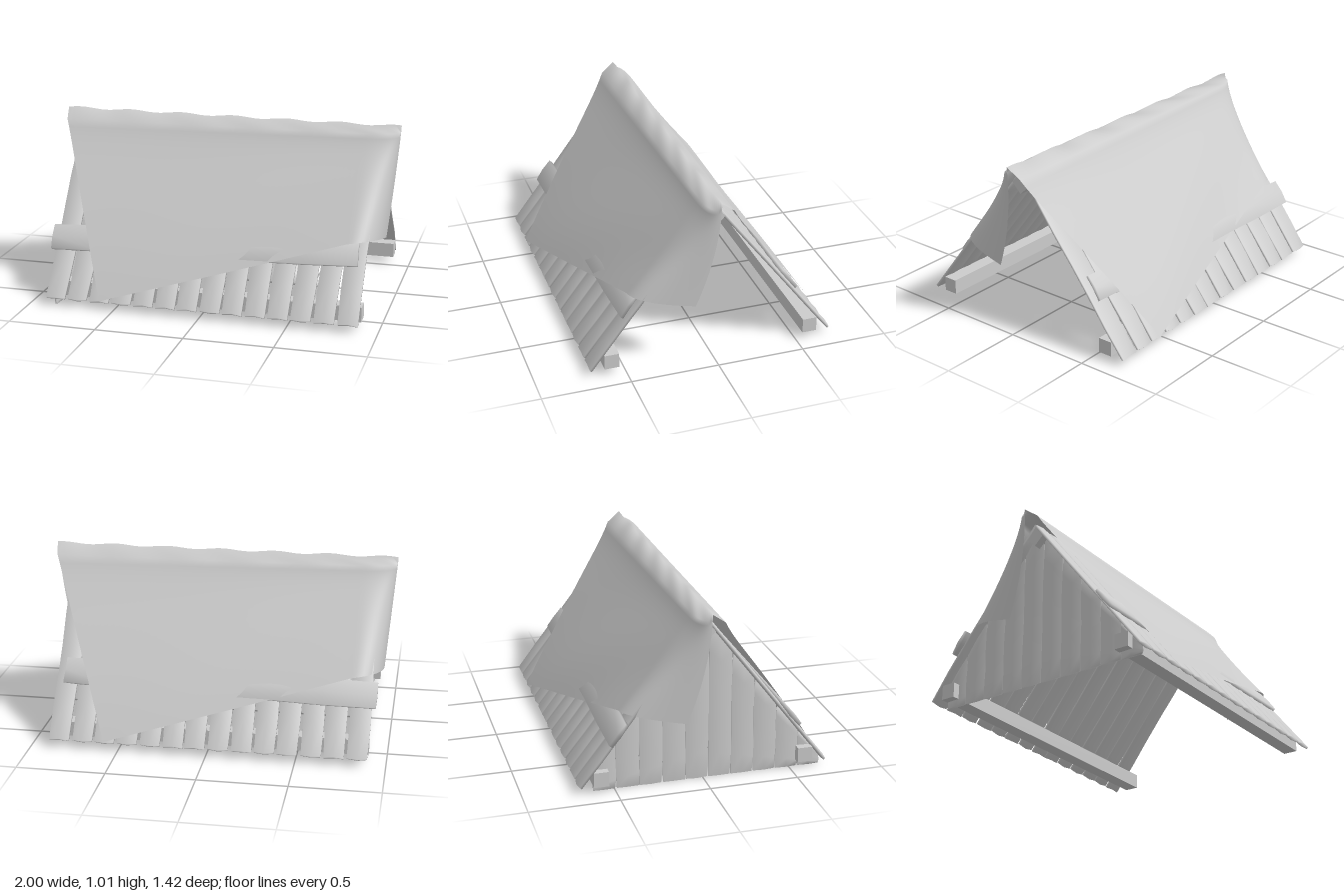
import * as THREE from 'three';
import { mergeVertices } from 'three/addons/utils/BufferGeometryUtils.js';

const APEX = 0.95, SIN = 0.61, COS = 0.792, PITCH = Math.atan2(SIN, COS);
const mat = new THREE.MeshStandardMaterial({ color: 0xcccccc });
const clothMat = new THREE.MeshStandardMaterial({ color: 0xcccccc, side: THREE.DoubleSide });

let seed = 7;
const jitter = (a) => {
  seed = (seed * 16807) % 2147483647;
  return (seed / 2147483647 - 0.5) * 2 * a;
};

function add(parent, name, geometry, material = mat) {
  const mesh = new THREE.Mesh(geometry, material);
  mesh.name = name;
  parent.add(mesh);
  return mesh;
}

// Soft-shaded hand-cut plank: wavy edges and uneven ends
function plank(w, h, t, rough, shape) {
  let g = new THREE.BoxGeometry(w, h, t, 2, 6, 1);
  g.deleteAttribute('uv');
  g.deleteAttribute('normal');
  g = mergeVertices(g);
  const p = g.attributes.position;
  const phase = jitter(3);
  for (let i = 0; i < p.count; i++) {
    let x = p.getX(i), y = p.getY(i), z = p.getZ(i);
    const end = Math.abs(y) > h * 0.49;
    z += Math.abs(x) < 0.001 ? Math.sign(z) * rough : 0;
    x *= end ? 0.95 : 1;
    x += rough * 0.6 * Math.sin(y * 9 + phase);
    if (end) y += rough * 0.7 * Math.sin(x * 60 + phase);
    p.setXYZ(i, x, y, z);
  }
  if (shape) shape(p);
  g.computeVertexNormals();
  return g;
}

// One pitched side: local -y runs down the slope, local z points outward
function roofSide(name, back) {
  const turn = new THREE.Group();
  turn.name = name;
  turn.rotation.y = back ? Math.PI : 0;
  const slope = new THREE.Group();
  slope.position.y = APEX;
  slope.rotation.x = -PITCH;
  turn.add(slope);
  for (let i = 0; i < 14; i++) {
    const slat = add(slope, 'roofSlat', plank(0.117, 1.14, 0.014, 0.005));
    slat.position.set((i - 6.5) * 0.1293 + (back ? 0.004 : -0.004), -0.57, 0);
    slat.rotation.z = jitter(0.004);
  }
  // Long cross board nailed over the slats
  const dir = back ? -1 : 1;
  const board = add(slope, 'crossBoard', plank(0.155, 1.78, 0.02, 0.004));
  board.position.set(-0.04 * dir, -0.755, 0.019);
  board.rotation.z = Math.PI / 2 + 0.024 * dir;
  return turn;
}

// Upright planks closing one end, tops cut to the roof pitch
function endWall() {
  const wall = new THREE.Group();
  wall.name = 'endWall';
  for (let i = 0; i < 10; i++) {
    const z = 0.615 - i * 0.13;
    const cut = (p) => {
      for (let k = 0; k < p.count; k++) {
        const f = p.getY(k) + 0.5;
        const roof = APEX - 0.012 - (COS / SIN) * Math.abs(z - p.getX(k));
        p.setY(k, Math.max(0.005, 0.005 + f * (Math.max(roof, 0.03) - 0.005)));
      }
    };
    const mesh = add(wall, 'wallPlank', plank(0.128, 1, 0.01, 0.004, cut));
    mesh.rotation.y = Math.PI / 2;
    mesh.position.set(-0.85, 0, z);
  }
  return wall;
}

// Point on the slope: x, distance down from the ridge, height off the slats
const onSlope = (x, d, off) =>
  new THREE.Vector3(x, APEX - COS * d + SIN * off, SIN * d + COS * off);

// Front half of the cloth; its right edge folds around the open end
function clothPoint(u, v) {
  const lift = 0.043 + 0.028 * Math.exp(-v * 12) + 0.004 * Math.sin(u * 9 + v * 7) * v;
  const left = onSlope(-1 + 0.42 * v, 1.14 * v, lift - 0.03 * v ** 4);
  const fold = onSlope(0.95 - 0.05 * v, 0.653 * v, lift);
  const flap = new THREE.Vector3(1 - 0.05 * v, 1 - 0.62 * v, 0.12 * v * v);
  if (u < 0.75) return left.lerp(fold, (u / 0.75) * 0.92);
  const t = (u - 0.75) / 0.25;
  const start = left.clone().lerp(fold, 0.92);
  const corner = fold.clone();
  corner.x += 0.06;
  corner.z += 0.02 * v;
  return start.multiplyScalar((1 - t) ** 2)
    .addScaledVector(corner, 2 * t * (1 - t))
    .addScaledVector(flap, t * t);
}

function clothGeometry() {
  const nu = 56, nv = 48, pos = [], index = [];
  for (let j = 0; j <= nv; j++) {
    const v = (j / nv) * 2 - 1;
    for (let i = 0; i <= nu; i++) {
      const u = i / nu;
      let p;
      if (Math.abs(v) < 1e-6) {
        p = new THREE.Vector3(-1 + 2 * u, 1.005 + 0.006 * Math.sin(u * 40), 0);
      } else if (v > 0) {
        p = clothPoint(u, v);
      } else {
        p = clothPoint(1 - u, -v);
        p.set(-p.x, p.y, -p.z);
      }
      pos.push(p.x, p.y, p.z);
      if (i < nu && j < nv) {
        const a = j * (nu + 1) + i, b = a + nu + 1;
        index.push(a, b, a + 1, b, b + 1, a + 1);
      }
    }
  }
  const g = new THREE.BufferGeometry();
  g.setAttribute('position', new THREE.Float32BufferAttribute(pos, 3));
  g.setIndex(index);
  g.computeVertexNormals();
  return g;
}

export function createModel() {
  const model = new THREE.Group();
  model.name = 'shelter';
  model.add(roofSide('frontRoof', false), roofSide('backRoof', true), endWall());

  // Square beams along both eaves and under the ridge
  for (const side of [1, -1]) {
    const beam = add(model, 'eaveBeam', new THREE.BoxGeometry(1.8, 0.085, 0.083));
    beam.position.set(0, 0.087, 0.58 * side);
  }
  const ridge = add(model, 'ridgeBeam', new THREE.BoxGeometry(1.8, 0.083, 0.083));
  ridge.position.set(0, 0.88, 0);
  ridge.rotation.x = Math.PI / 4;

  add(model, 'clothCover', clothGeometry(), clothMat);
  return model;
}
